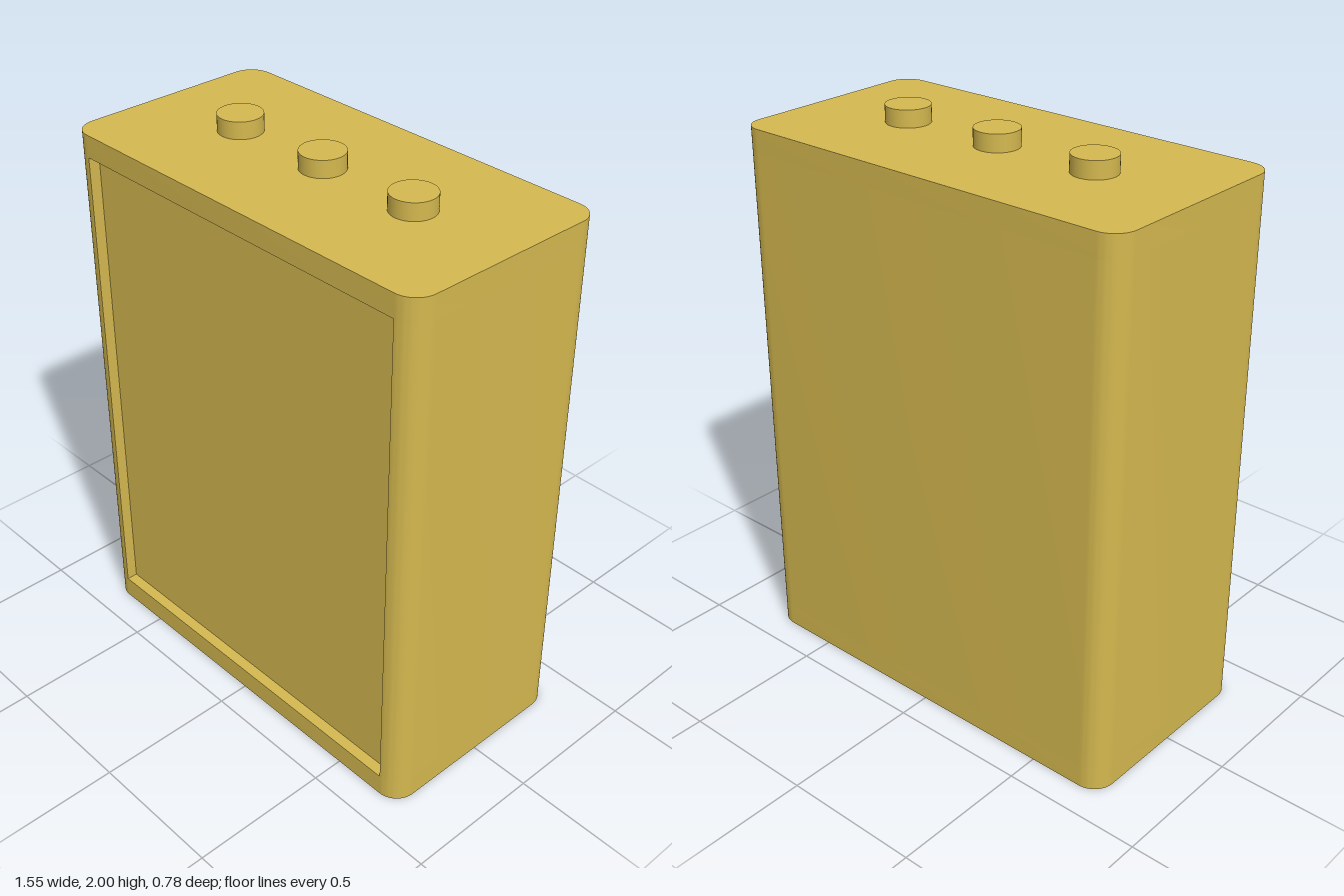
import * as THREE from 'three';
import { toCreasedNormals } from 'three/addons/utils/BufferGeometryUtils.js';

const W = 0.775, D = 0.388, R = 0.08; // half width, half depth, corner radius
const H = 1.94, RIM = 0.08, RECESS = 0.04;

// Rounded footprint; the front (shape -y) may be notched for the recess
function footprint(notched) {
  const s = new THREE.Shape();
  const x = W - R, y = D - R;
  s.moveTo(x, -D);
  s.absarc(x, -y, R, -Math.PI / 2, 0, false);
  s.absarc(x, y, R, 0, Math.PI / 2, false);
  s.absarc(-x, y, R, Math.PI / 2, Math.PI, false);
  s.absarc(-x, -y, R, Math.PI, Math.PI * 1.5, false);
  if (notched) {
    s.lineTo(-x, -D + RECESS);
    s.lineTo(x, -D + RECESS);
  }
  s.closePath();
  return s;
}

function slab(name, notched, y, height, material) {
  const extruded = new THREE.ExtrudeGeometry(footprint(notched), {
    depth: height, bevelEnabled: false, curveSegments: 8,
  });
  extruded.rotateX(-Math.PI / 2);
  const mesh = new THREE.Mesh(toCreasedNormals(extruded, 0.6), material);
  mesh.name = name;
  mesh.position.y = y;
  return mesh;
}

export function createModel() {
  const model = new THREE.Group();
  model.name = 'case';
  const gold = new THREE.MeshStandardMaterial({ color: 0xd4b84f });
  gold.name = 'gold';

  // Body: recessed middle between two full rims
  model.add(slab('bottomRim', false, 0, RIM, gold));
  model.add(slab('recessedBody', true, RIM, H - 2 * RIM, gold));
  model.add(slab('topRim', false, H - RIM, RIM, gold));

  // Three round buttons on top
  const buttonGeometry = new THREE.CylinderGeometry(0.077, 0.077, 0.06, 40);
  for (const x of [-0.388, 0, 0.388]) {
    const button = new THREE.Mesh(buttonGeometry, gold);
    button.name = 'button';
    button.position.set(x, H + 0.03, 0);
    model.add(button);
  }
  return model;
}
